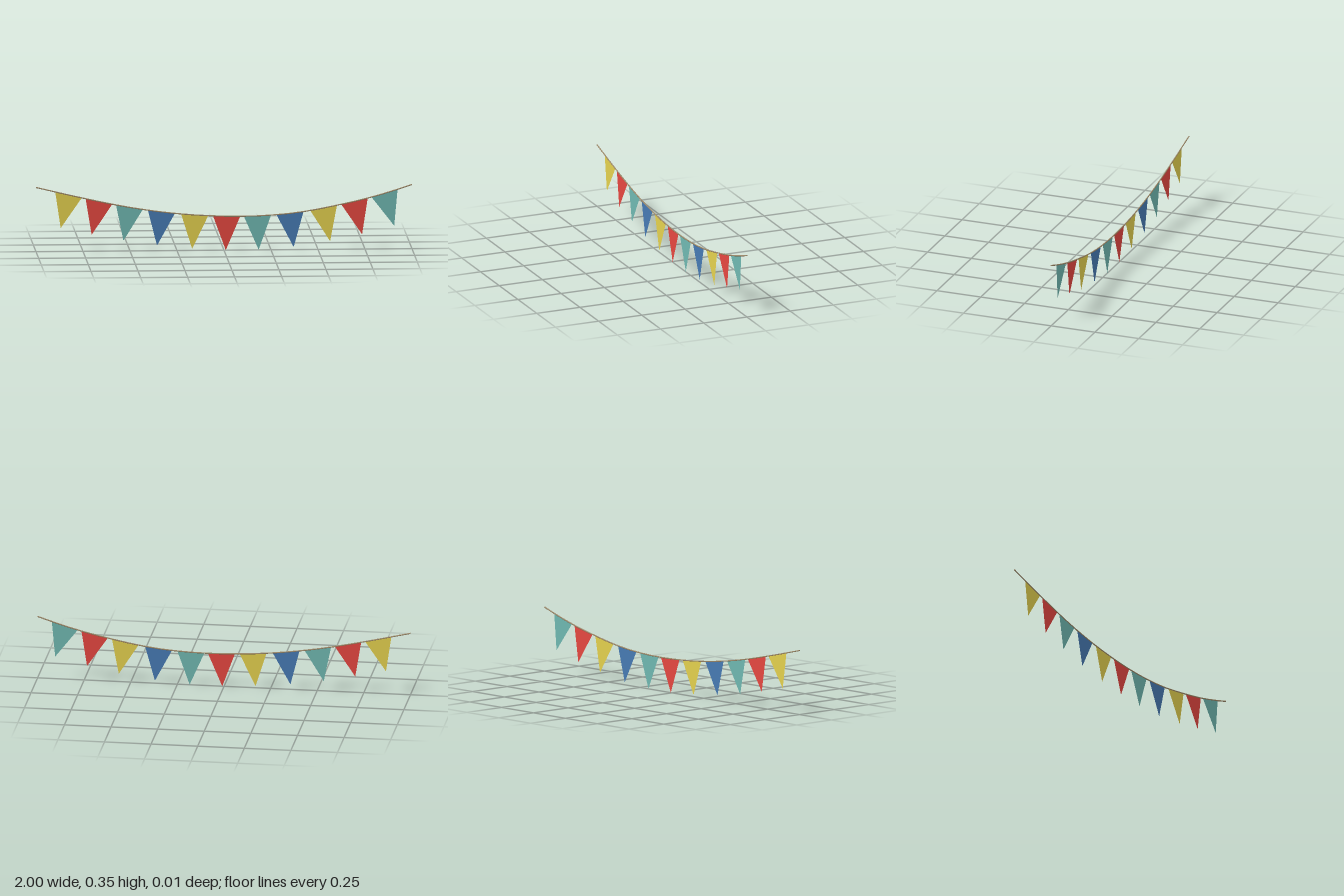
import * as THREE from 'three';

const material = (name, color, side = THREE.FrontSide) => {
  const m = new THREE.MeshStandardMaterial({ color, side });
  m.name = name;
  return m;
};

export function createModel() {
  const group = new THREE.Group();
  group.name = 'bunting';

  const ropeMaterial = material('tan twine', 0xa08c6c);
  const flagMaterials = [
    material('mustard yellow', 0xe3d04e, THREE.DoubleSide),
    material('red', 0xe54740, THREE.DoubleSide),
    material('teal', 0x6fb7b0, THREE.DoubleSide),
    material('blue', 0x467ab3, THREE.DoubleSide),
  ];

  // Sagging rope, lowest a little to the left of the middle
  const sag = new THREE.CatmullRomCurve3([
    [-1, 0.345], [-0.75, 0.286], [-0.5, 0.234], [-0.25, 0.199], [0, 0.183], [0.2, 0.184],
    [0.4, 0.201], [0.6, 0.237], [0.78, 0.278], [0.92, 0.319], [1, 0.345],
  ].map(([x, y]) => new THREE.Vector3(x, y, 0)));
  const radius = 0.0035, sides = 6;
  const rope = new THREE.Mesh(new THREE.TubeGeometry(sag, 24, radius, sides), ropeMaterial);
  rope.name = 'rope';
  group.add(rope);

  // Caps closing the rope ends
  for (const t of [0, 1]) {
    const cap = new THREE.Mesh(new THREE.CircleGeometry(radius, sides), ropeMaterial);
    cap.name = 'ropeEnd';
    cap.position.copy(sag.getPoint(t));
    cap.lookAt(cap.position.clone().addScaledVector(sag.getTangent(t), t ? 1 : -1));
    group.add(cap);
  }

  // Rope point at a given x, found by bisection
  const ropeAt = (x) => {
    let lo = 0, hi = 1;
    for (let i = 0; i < 30; i++) {
      const mid = (lo + hi) / 2;
      if (sag.getPoint(mid).x < x) lo = mid; else hi = mid;
    }
    return sag.getPoint(lo);
  };

  // Triangular pennants, each hanging square to the rope
  const halfWidth = 0.0725, drop = 0.183;
  const pennant = new THREE.ShapeGeometry(new THREE.Shape([
    new THREE.Vector2(-halfWidth, 0),
    new THREE.Vector2(0, -drop),
    new THREE.Vector2(halfWidth, 0),
  ]));
  const centres = [-0.827, -0.665, -0.503, -0.333, -0.156, 0.014, 0.178, 0.351, 0.53, 0.694, 0.854];
  centres.forEach((x, i) => {
    const a = ropeAt(x - halfWidth), b = ropeAt(x + halfWidth);
    const flag = new THREE.Mesh(pennant, flagMaterials[i % 4]);
    flag.name = `flag${i + 1}`;
    flag.position.lerpVectors(a, b, 0.5);
    flag.rotation.z = Math.atan2(b.y - a.y, b.x - a.x);
    group.add(flag);
  });

  return group;
}
